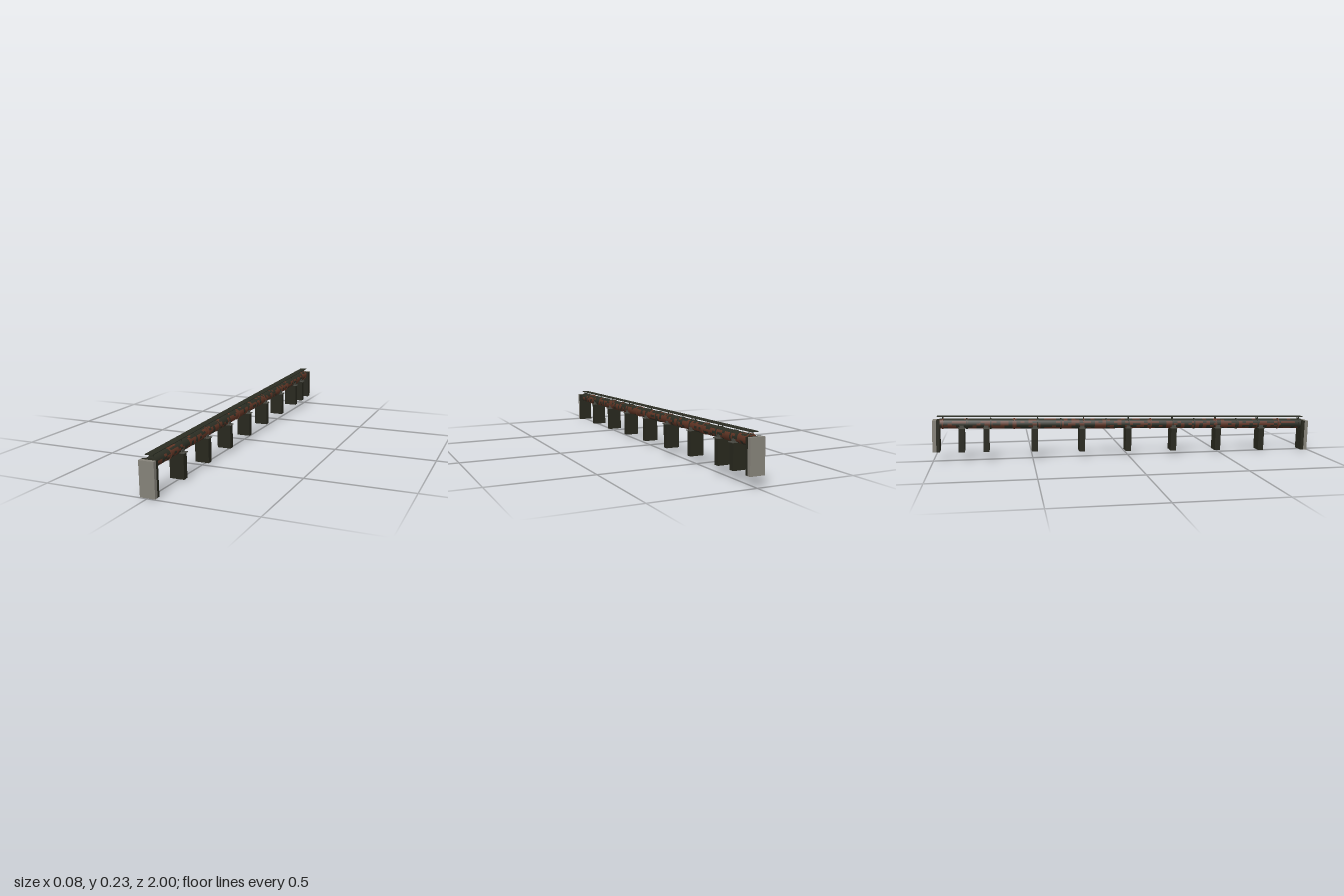
import * as THREE from 'three';

const mat = (name, color) => {
  const m = new THREE.MeshStandardMaterial({ color });
  m.name = name;
  return m;
};

export function createModel() {
  const model = new THREE.Group();
  model.name = 'pipeline';
  const dark = mat('dark painted steel', 0x2b2d23);
  const pierDark = mat('dark pier', 0x27271d);
  const rust = mat('rust', 0x5f3424);
  const concrete = mat('pale concrete', 0x86837a);
  const clampGrey = mat('clamp grey', 0x4c4c44);

  // The whole line slopes down toward the front
  const line = new THREE.Group();
  line.name = 'slopedLine';
  line.position.y = 0.025;
  line.rotation.x = 0.0255;
  model.add(line);

  const add = (name, geo, material, x, y, z) => {
    const m = new THREE.Mesh(geo, material);
    m.name = name;
    m.position.set(x, y, z);
    line.add(m);
    return m;
  };
  const box = (name, w, h, d, material, x, y, z) =>
    add(name, new THREE.BoxGeometry(w, h, d), material, x, y, z);

  let seed = 7;
  const random = () => (seed = (seed * 16807) % 2147483647) / 2147483647;

  // End blocks: pale outer slab with a dark inner slab
  for (const s of [1, -1]) {
    box('endBlock', 0.072, 0.16, 0.019, concrete, 0, 0.08, s * 0.9885 - 0.002);
    box('endPier', 0.071, 0.159, 0.017, pierDark, 0, 0.0795, s * 0.971 - 0.002);
  }

  // Piers with thin cap plates and a pipe saddle
  const pierZ = [0.732, 0.488, 0.244, 0, -0.244, -0.488, -0.732, -0.855];
  for (const z of pierZ) {
    box('pier', 0.07, 0.119, 0.03, pierDark, 0, 0.0595, z - 0.002);
    box('pierCap', 0.08, 0.004, 0.034, clampGrey, 0, 0.121, z - 0.002);
    for (const s of [-1, 1]) {
      box('saddle', 0.01, 0.012, 0.022, clampGrey, s * 0.022, 0.129, z - 0.002);
    }
  }

  // Pipe made of short lengths, rust patches chosen face by face
  const sides = 14, rows = 3, lengths = 32, r = 0.0255, pipeY = 0.141;
  const pitch = 1.93 / lengths;
  for (let i = 0; i < lengths; i++) {
    const z = 0.965 - pitch * (i + 0.5);
    const geo = new THREE.CylinderGeometry(r, r, pitch, sides, rows, true);
    geo.rotateX(Math.PI / 2);
    geo.clearGroups();
    for (let row = 0; row < rows; row++) {
      for (let k = 0; k < sides; k++) {
        const a = ((k + 0.5) / sides) * Math.PI * 2;
        const x = Math.sin(a), up = -Math.cos(a);
        let chance = x > 0 ? 0.82 : 0.5;
        if (x > 0 && z > 0.6) chance = 0.4;
        if (up > 0.55) chance = 0.12;
        if (up < -0.7) chance = 0.65;
        // Each quad holds six indices, stored column by column
        geo.addGroup((k * rows + row) * 6, 6, random() < chance ? 1 : 0);
      }
    }
    add('pipeLength', geo, [dark, rust], 0, pipeY, z);
  }

  // Joint rings around the pipe
  for (let i = 0; i <= 16; i++) {
    const ring = new THREE.CylinderGeometry(0.028, 0.028, 0.007, sides);
    ring.rotateX(Math.PI / 2);
    add('jointRing', ring, i % 3 === 1 ? rust : dark, 0, pipeY, 0.95 - i * 0.11875);
  }

  // Narrow walkway over the pipe, on small posts
  box('walkway', 0.036, 0.003, 1.95, dark, 0, 0.179, -0.003);
  for (let i = 0; i <= 8; i++) {
    for (const s of [-1, 1]) {
      box('walkwayPost', 0.003, 0.02, 0.004, dark, s * 0.01, 0.169, 0.95 - i * 0.2375);
    }
  }
  return model;
}
